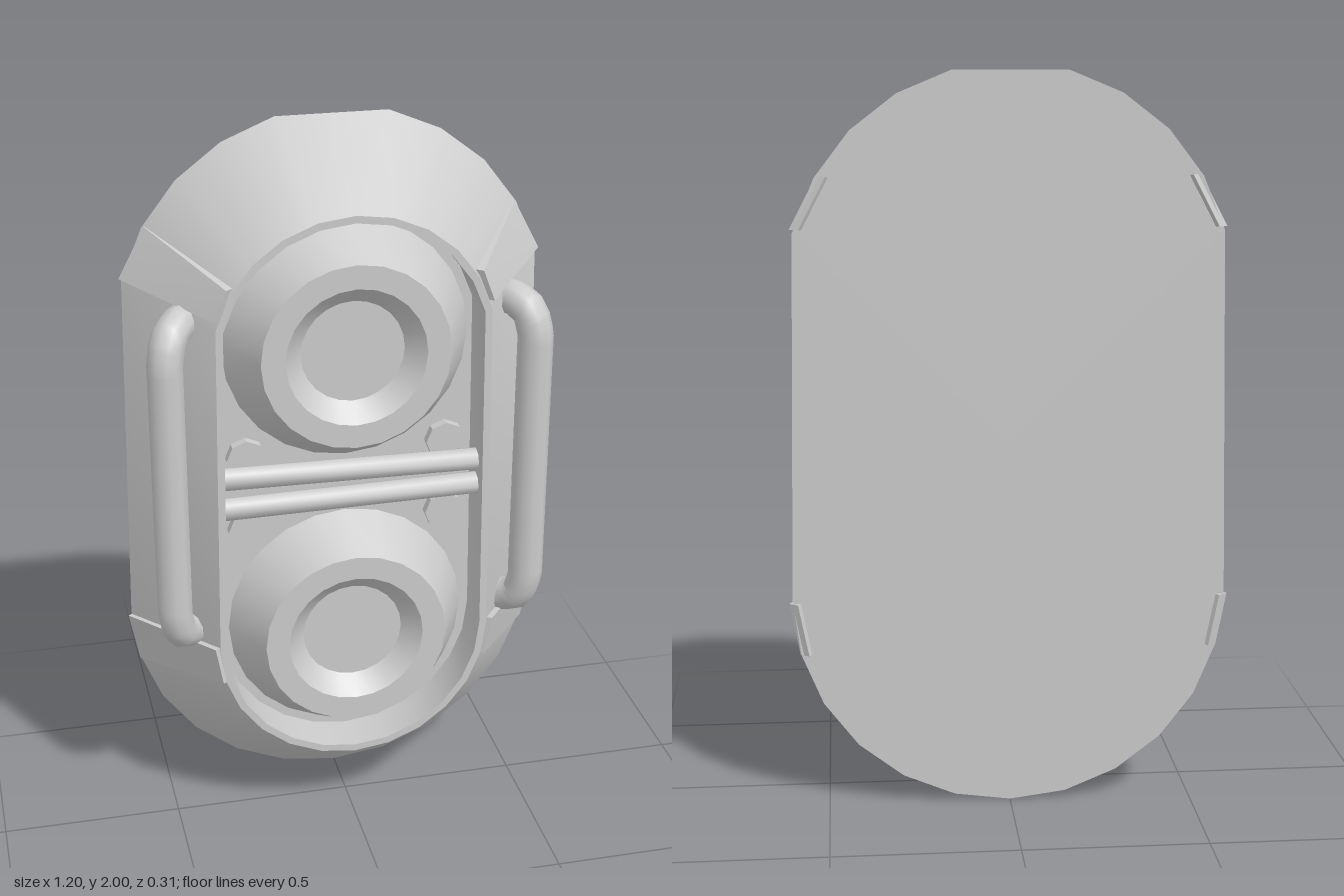
import * as THREE from 'three';
import { toCreasedNormals } from 'three/addons/utils/BufferGeometryUtils.js';

const TOP = 1.43, LOW = 0.59, BACK = -0.155, FRONT = 0.125, FLOOR = 0;
const BACK_R = 0.59, FRONT_R = 0.38;
const material = new THREE.MeshStandardMaterial({ color: 0xcccccc });
const V = (x, y, z) => new THREE.Vector3(x, y, z);

function add(parent, name, geometry, crease = 0.5) {
  const mesh = new THREE.Mesh(crease ? toCreasedNormals(geometry, crease) : geometry, material);
  mesh.name = name;
  parent.add(mesh);
  return mesh;
}

function fromTriangles(points) {
  const g = new THREE.BufferGeometry().setFromPoints(points);
  g.computeVertexNormals();
  return g;
}

// Point on one of the two rounded ends, in 15 degree steps
function rimPoint(deg, r, z) {
  const a = THREE.MathUtils.degToRad(deg);
  const y = (deg > 0 && deg < 180 ? TOP : LOW) + Math.sin(a) * r;
  return V(Math.cos(a) * r, Math.min(y, 2), z);
}

function outline(r, z) {
  const pts = [];
  for (let d = 15; d <= 360; d += 15) pts.push(rimPoint(d, r, z));
  return pts;
}

// Tapered case: back, sloped sides, narrow lip, recess wall and floor
function caseGeometry() {
  const rings = [outline(BACK_R, BACK), outline(FRONT_R, FRONT), outline(0.36, FRONT), outline(0.36, FLOOR)];
  const tris = [];
  const n = rings[0].length;
  const backCentre = V(0, 1, BACK), floorCentre = V(0, 1, FLOOR);
  for (let j = 0; j < n; j++) {
    const k = (j + 1) % n;
    for (let i = 0; i < rings.length - 1; i++) {
      const a = rings[i], b = rings[i + 1];
      tris.push(a[j], a[k], b[k], a[j], b[k], b[j]);
    }
    tris.push(backCentre, rings[0][k], rings[0][j]);
    tris.push(floorCentre, rings[3][j], rings[3][k]);
  }
  return fromTriangles(tris);
}

// Raised plate lying on the slope; corners: back low, back high, front high, front low
function plateGeometry(corners) {
  const outward = V(0.8, 0, 0.6).multiplyScalar(0.012);
  const low = corners.map(p => p.clone().addScaledVector(outward, -1.5));
  const high = corners.map(p => p.clone().add(outward));
  const tris = [];
  const quad = (a, b, c, d) => tris.push(a, b, c, a, c, d);
  quad(...high);
  quad(low[3], low[2], low[1], low[0]);
  for (let i = 0; i < 4; i++) {
    const k = (i + 1) % 4;
    quad(low[i], low[k], high[k], high[i]);
  }
  return fromTriangles(tris);
}

function handleGeometry() {
  const pts = [[0.42, 0.625, 0.0], [0.455, 0.625, 0.045], [0.485, 0.65, 0.085], [0.497, 0.71, 0.099],
    [0.497, 1.44, 0.099], [0.485, 1.5, 0.085], [0.455, 1.525, 0.045], [0.42, 1.525, 0.0]].map(p => V(...p));
  const path = new THREE.CurvePath();
  for (let i = 0; i < pts.length - 1; i++) path.add(new THREE.LineCurve3(pts[i], pts[i + 1]));
  return new THREE.TubeGeometry(path, 60, 0.048, 10, false);
}

export function createModel() {
  const model = new THREE.Group();
  model.name = 'twinRoundPanel';
  add(model, 'case', caseGeometry());

  // Two round cups with a sloped collar and a shallow dish
  const profile = [[0.335, FLOOR], [0.255, 0.142], [0.19, 0.142], [0.14, 0.09], [0, 0.09]];
  for (const [name, y] of [['upperCup', TOP], ['lowerCup', LOW]]) {
    const g = new THREE.LatheGeometry(profile.map(p => new THREE.Vector2(...p)), 24);
    g.rotateX(Math.PI / 2);
    add(model, name, g).position.y = y;
  }

  // Pair of slightly tilted cross bars
  for (const [name, yRight, yLeft] of [['upperCrossBar', 1.08, 1.07], ['lowerCrossBar', 0.99, 0.998]]) {
    const bar = add(model, name, new THREE.CylinderGeometry(0.032, 0.032, 0.72, 8), 0.9);
    bar.position.set(0, (yRight + yLeft) / 2, 0.06);
    bar.rotation.z = Math.PI / 2 + (yLeft - yRight) / 0.72;
  }

  // Bolt heads on the recess floor
  for (const x of [-0.277, 0.277]) for (const y of [0.9, 1.115]) {
    const g = new THREE.CylinderGeometry(0.055, 0.055, 0.03, 8);
    g.rotateX(Math.PI / 2);
    add(model, 'bolt', g).position.set(x, y, FLOOR + 0.012);
  }

  // Clamp plates and side handles, mirrored
  const plates = {
    upperClamp: [V(0.568, 1.592, BACK), V(0.495, 1.73, BACK), V(0.328, 1.64, FRONT), V(0.36, 1.555, FRONT)],
    lowerClamp: [V(0.562, 0.435, BACK), V(0.59, 0.58, BACK), V(0.385, 0.6, FRONT), V(0.365, 0.49, FRONT)],
  };
  const flip = g => {
    const m = g.toNonIndexed().scale(-1, 1, 1);
    for (const attr of Object.values(m.attributes)) {
      for (let i = 0; i < attr.count; i += 3) for (let c = 0; c < attr.itemSize; c++) {
        const t = attr.getComponent(i + 1, c);
        attr.setComponent(i + 1, c, attr.getComponent(i + 2, c));
        attr.setComponent(i + 2, c, t);
      }
    }
    return m;
  };
  for (const side of ['left', 'right']) {
    const place = g => {
      const solid = g.index ? g.toNonIndexed() : g;
      return side === 'left' ? solid : flip(g.index ? g : fromTriangles(trianglePoints(g)));
    };
    for (const [name, corners] of Object.entries(plates)) add(model, `${side} ${name}`, place(plateGeometry(corners)));
    add(model, `${side} handle`, place(handleGeometry()), 0.9);
  }
  return model;
}

function trianglePoints(g) {
  const p = g.attributes.position;
  return Array.from({ length: p.count }, (_, i) => new THREE.Vector3().fromBufferAttribute(p, i));
}
